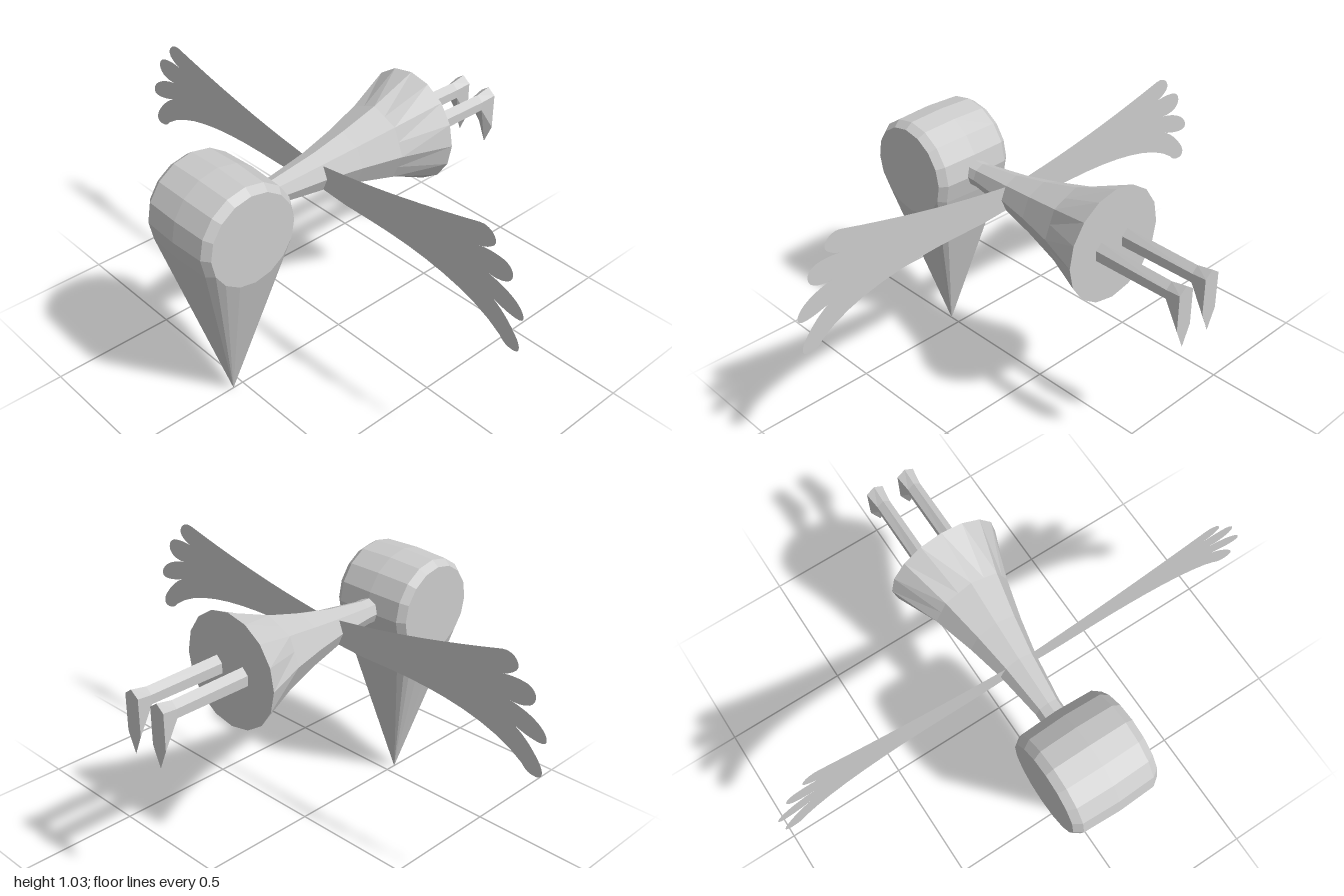
import * as THREE from 'three';
import { ConvexGeometry } from 'three/addons/geometries/ConvexGeometry.js';

const flat = new THREE.MeshStandardMaterial({ color: 0xcccccc, flatShading: true });
const thin = new THREE.MeshStandardMaterial({ color: 0xcccccc, side: THREE.DoubleSide });

function part(name, geometry, material = flat) {
  const mesh = new THREE.Mesh(geometry, material);
  mesh.name = name;
  return mesh;
}

// Barrel lying along x, drawn down to a single pointed beak
function headGeometry() {
  const points = [new THREE.Vector3(0, 0.003, 0.545)];
  for (const [x, r] of [[-0.175, 0.178], [-0.145, 0.2], [0, 0.206], [0.145, 0.2], [0.175, 0.178]]) {
    for (let i = 0; i < 16; i++) {
      const a = (i / 16) * Math.PI * 2;
      points.push(new THREE.Vector3(x, 0.8 + r * Math.cos(a), 0.545 + r * Math.sin(a)));
    }
  }
  return new ConvexGeometry(points);
}

// Flared trunk: eight flat sides that open into a rounder tail rim
function bodyGeometry() {
  const profile = [[0, -0.37], [0.224, -0.37], [0.152, -0.18], [0.108, -0.02], [0.076, 0.125], [0.05, 0.31], [0.05, 0.36], [0, 0.36]];
  const geo = new THREE.LatheGeometry(profile.map(([r, z]) => new THREE.Vector2(r, z)), 16);
  const pos = geo.attributes.position;
  for (let i = 0; i < pos.count; i++) {
    const step = Math.floor(i / profile.length), ring = i % profile.length;
    if (step % 2 && ring > 1) {
      const k = Math.cos(Math.PI / 8);
      pos.setXYZ(i, pos.getX(i) * k, pos.getY(i), pos.getZ(i) * k);
    }
  }
  geo.rotateX(Math.PI / 2).translate(0, 0.805, 0);
  return geo;
}

// Flat wing with four rounded feather tips
function wingGeometry() {
  const s = new THREE.Shape();
  s.moveTo(0.03, 0.755);
  s.lineTo(0.03, 0.85);
  s.lineTo(0.175, 0.87);
  s.quadraticCurveTo(0.45, 0.91, 0.79, 0.998);
  s.bezierCurveTo(0.84, 1.01, 0.885, 0.955, 0.84, 0.93);
  s.quadraticCurveTo(0.82, 0.915, 0.795, 0.91);
  s.quadraticCurveTo(0.85, 0.92, 0.9, 0.91);
  s.bezierCurveTo(0.95, 0.895, 0.95, 0.84, 0.9, 0.828);
  s.quadraticCurveTo(0.87, 0.82, 0.835, 0.825);
  s.quadraticCurveTo(0.9, 0.815, 0.945, 0.79);
  s.bezierCurveTo(0.995, 0.765, 1.02, 0.71, 0.965, 0.715);
  s.quadraticCurveTo(0.92, 0.718, 0.865, 0.74);
  s.quadraticCurveTo(0.92, 0.71, 0.965, 0.655);
  s.bezierCurveTo(1.005, 0.61, 1.0, 0.575, 0.955, 0.583);
  s.quadraticCurveTo(0.93, 0.585, 0.91, 0.61);
  s.bezierCurveTo(0.78, 0.71, 0.55, 0.745, 0.3, 0.745);
  s.lineTo(0.175, 0.745);
  return new THREE.ShapeGeometry(s, 8);
}

// Leg shaft with a ridge on top, ending in a pointed foot
function legGeometry() {
  const outline = (z, top, w, shoulder, low, tip) =>
    [[0, top], [w, shoulder], [w, low], [0, tip], [-w, low], [-w, shoulder]].map(([x, y]) => [x, y, z]);
  const sections = [
    outline(-0.36, 0.845, 0.026, 0.82, 0.78, 0.776),
    outline(-0.685, 0.838, 0.026, 0.815, 0.78, 0.774),
    outline(-0.748, 0.85, 0.034, 0.825, 0.68, 0.6),
  ];
  const v = [];
  for (let k = 0; k < 2; k++) {
    for (let i = 0; i < 6; i++) {
      const j = (i + 1) % 6, a = sections[k], b = sections[k + 1];
      v.push(...a[i], ...a[j], ...b[j], ...a[i], ...b[j], ...b[i]);
    }
  }
  const end = sections[2];
  for (let i = 1; i < 5; i++) v.push(...end[0], ...end[i], ...end[i + 1]);
  const geo = new THREE.BufferGeometry();
  geo.setAttribute('position', new THREE.Float32BufferAttribute(v, 3));
  geo.computeVertexNormals();
  return geo;
}

export function createModel() {
  const model = new THREE.Group();
  model.name = 'bird';
  model.add(part('headAndBeak', headGeometry()), part('body', bodyGeometry()));

  for (const side of [1, -1]) {
    const label = side > 0 ? 'left' : 'right';
    const wing = part(label + 'Wing', wingGeometry(), thin);
    wing.scale.x = side;
    wing.position.z = 0.125;
    const leg = part(label + 'Leg', legGeometry());
    leg.position.x = side * 0.067;
    model.add(wing, leg);
  }
  return model;
}
